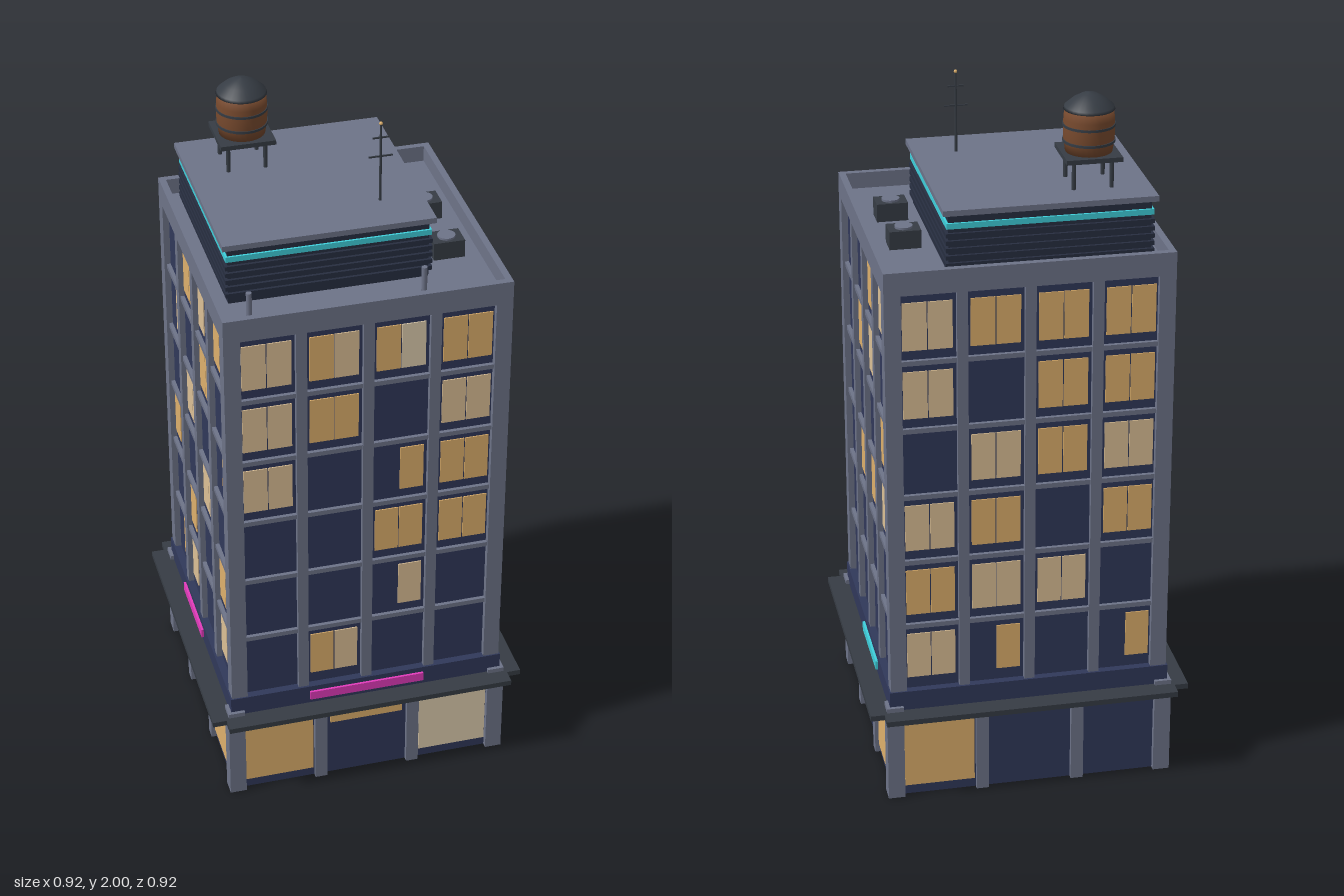
import * as THREE from 'three';

const mat = (name, color) => {
  const m = new THREE.MeshStandardMaterial({ color });
  m.name = name;
  return m;
};

export function createModel() {
  const M = {
    trim: mat('grey stone', 0x6d7388),
    wall: mat('navy wall', 0x30385a),
    dark: mat('dark metal', 0x363c44),
    slat: mat('dark louvre', 0x272e40),
    wood: mat('brown wood', 0x784a2e),
    amber: mat('amber light', 0xdeb06c),
    cream: mat('cream light', 0xdcc096),
    pale: mat('pale light', 0xdecdae),
    cyan: mat('cyan neon', 0x3fcfdb),
    pink: mat('pink neon', 0xe23bbb),
  };
  const LIT = { a: M.amber, c: M.cream, p: M.pale };
  const model = new THREE.Group();
  model.name = 'cornerBuilding';

  const add = (parent, name, geo, m, x = 0, y = 0, z = 0) => {
    const mesh = new THREE.Mesh(geo, m);
    mesh.name = name;
    mesh.position.set(x, y, z);
    parent.add(mesh);
    return mesh;
  };
  // box given by its [min, max] on each axis
  const box = (parent, name, m, [x0, x1], [y0, y1], [z0, z1]) =>
    add(parent, name, new THREE.BoxGeometry(x1 - x0, y1 - y0, z1 - z0), m,
      (x0 + x1) / 2, (y0 + y1) / 2, (z0 + z1) / 2);
  const group = (name, parent = model) => {
    const g = new THREE.Group();
    g.name = name;
    parent.add(g);
    return g;
  };

  // Solid cores
  box(model, 'baseCore', M.wall, [-0.395, 0.395], [0, 0.275], [-0.395, 0.395]);
  box(model, 'signBand', M.wall, [-0.402, 0.402], [0.275, 0.34], [-0.402, 0.402]);
  box(model, 'towerCore', M.wall, [-0.38, 0.38], [0.34, 1.55], [-0.38, 0.38]);

  // Corner piers of base and tower
  for (const sx of [-1, 1]) for (const sz of [-1, 1]) {
    add(model, 'baseCorner', new THREE.BoxGeometry(0.048, 0.295, 0.048), M.trim, sx * 0.388, 0.1475, sz * 0.388);
    add(model, 'towerCorner', new THREE.BoxGeometry(0.046, 1.2, 0.046), M.trim, sx * 0.375, 0.94, sz * 0.375);
  }

  // Facades, each seen from outside; eight panes per floor, top floor first
  const facades = [
    { name: 'front', turn: 0, shops: 'a.p', transom: true, sign: [M.pink, -0.17, 0.168],
      floors: ['ccacapaa', 'ccaa..cc', 'cc...aaa', '....aaaa', '.....c..', '..ac....'] },
    { name: 'right', turn: 1, shops: 'a.a', sign: [M.cyan, -0.05, 0.19],
      floors: ['.a..aac.', '..aac...', '......aa', '..aaa.c.', '........', '.c.a....'] },
    { name: 'back', turn: 2, shops: 'a..',
      floors: ['ccaaaaaa', 'cc..aaaa', '..ccaacc', 'ccaa..aa', 'aacccc..', 'cc.a...a'] },
    { name: 'left', turn: 3, shops: 'a.a', sign: [M.pink, -0.19, 0.05],
      floors: ['..aac.aa', '.c..aa..', '..cc...a', 'a...cc..', '..a...aa', '.ac...c.'] },
  ];
  for (const f of facades) {
    const g = group(f.name + 'Facade');
    g.rotation.y = f.turn * Math.PI / 2;

    // Shop windows between the base piers
    for (const s of [-1, 1]) box(g, 'basePier', M.trim, [s * 0.138 - 0.018, s * 0.138 + 0.018], [0, 0.275], [0.39, 0.41]);
    [...f.shops].forEach((c, i) => {
      if (c === '.') return;
      const x = (i - 1) * 0.261;
      box(g, 'shopWindow', LIT[c], [x - 0.101, x + 0.101], [0.03, 0.24], [0.394, 0.4]);
    });
    if (f.transom) box(g, 'doorTransom', M.amber, [-0.108, 0.108], [0.19, 0.24], [0.394, 0.4]);

    // Canopy and neon strip
    box(g, 'canopy', M.dark, [-0.42, 0.42], [0.266, 0.282], [0.39, 0.46]);
    if (f.sign) box(g, 'neonSign', f.sign[0], [f.sign[1], f.sign[2]], [0.297, 0.324], [0.4, 0.409]);

    // Pilasters and floor sills
    for (const x of [-0.186, 0, 0.186]) box(g, 'pilaster', M.trim, [x - 0.015, x + 0.015], [0.34, 1.54], [0.375, 0.396]);
    for (let i = 1; i < 6; i++) {
      const y = 0.341 + i * 0.2;
      box(g, 'floorSill', M.trim, [-0.355, 0.355], [y - 0.007, y + 0.007], [0.375, 0.391]);
    }

    // Lit panes
    f.floors.forEach((row, r) => [...row].forEach((c, i) => {
      if (c === '.') return;
      const bay = Math.floor(i / 2);
      const x = (bay - 1.5) * 0.186 + (i % 2 ? 0.035 : -0.035);
      const y = 1.444 - r * 0.2;
      box(g, 'windowPane', LIT[c], [x - 0.0335, x + 0.0335], [y - 0.069, y + 0.069], [0.379, 0.383]);
    }));

    // Parapet side
    box(g, 'parapet', M.trim, [-0.398, 0.398], [1.54, 1.607], [0.379, 0.398]);
  }

  box(model, 'roof', M.trim, [-0.385, 0.385], [1.545, 1.56], [-0.385, 0.385]);

  // Penthouse with louvres and a light strip
  const pent = group('penthouse');
  pent.position.set(-0.068, 0, -0.042);
  const square = (name, m, h, y0, y1) => box(pent, name, m, [-h, h], [y0, y1], [-h, h]);
  square('penthouseWall', M.slat, 0.277, 1.555, 1.735);
  for (let i = 0; i < 5; i++) square('louvre', M.slat, 0.285, 1.582 + i * 0.021, 1.594 + i * 0.021);
  square('lightStrip', M.cyan, 0.283, 1.69, 1.706);
  square('penthouseRoof', M.trim, 0.293, 1.73, 1.746);

  // Water tower
  const tower = group('waterTower');
  tower.position.set(-0.2, 0, -0.19);
  for (const sx of [-1, 1]) for (const sz of [-1, 1])
    add(tower, 'towerLeg', new THREE.CylinderGeometry(0.006, 0.006, 0.085, 8), M.dark, sx * 0.052, 1.785, sz * 0.052);
  box(tower, 'platform', M.dark, [-0.077, 0.077], [1.824, 1.837], [-0.077, 0.077]);
  const lathe = pts => new THREE.LatheGeometry(pts.map(p => new THREE.Vector2(...p)), 28);
  add(tower, 'tank', lathe([[0, 1.837], [0.064, 1.837], [0.069, 1.87], [0.07, 1.9], [0.069, 1.93], [0.066, 1.962], [0, 1.962]]), M.wood);
  for (const y of [1.868, 1.912])
    add(tower, 'tankHoop', new THREE.CylinderGeometry(0.0718, 0.0718, 0.007, 28), M.dark, 0, y, 0);
  add(tower, 'tankRoof', lathe([[0, 1.955], [0.07, 1.955], [0.067, 1.963], [0.045, 1.982], [0.02, 1.996], [0, 2]]), M.dark);

  // Aerial with two crossbars and a tip light
  const aerial = group('aerial');
  aerial.position.set(0.105, 0, 0.12);
  add(aerial, 'mast', new THREE.CylinderGeometry(0.003, 0.004, 0.235, 8), M.dark, 0, 1.86, 0);
  for (const [y, w] of [[1.936, 0.045], [1.88, 0.066]])
    add(aerial, 'crossbar', new THREE.BoxGeometry(w, 0.004, 0.004), M.dark, 0, y, 0);
  add(aerial, 'tipLight', new THREE.SphereGeometry(0.005, 10, 8), M.amber, 0, 1.978, 0);

  // Roof vents and pipes
  for (const z of [-0.083, 0.132]) {
    box(model, 'ventBox', M.dark, [0.246, 0.334], [1.555, 1.612], [z - 0.033, z + 0.033]);
    add(model, 'ventFan', new THREE.CylinderGeometry(0.025, 0.025, 0.008, 20), M.trim, 0.29, 1.614, z);
  }
  for (const [x, z] of [[-0.31, 0.327], [0.172, 0.32]])
    add(model, 'roofPipe', new THREE.CylinderGeometry(0.008, 0.008, 0.09, 12), M.trim, x, 1.598, z);

  return model;
}
